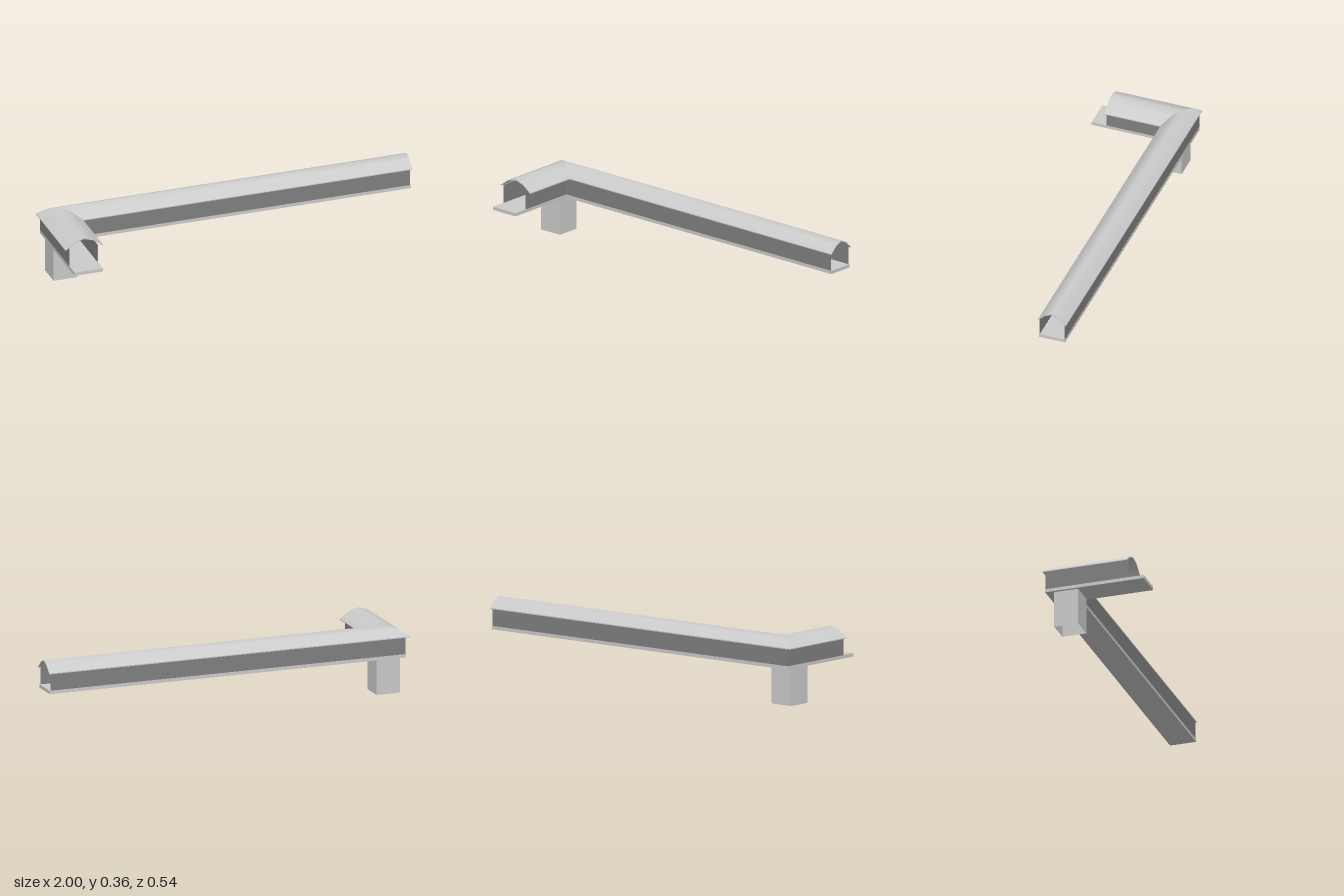
import * as THREE from 'three';

const light = new THREE.MeshStandardMaterial({ color: 0xcccccc, side: THREE.DoubleSide });
const dark = new THREE.MeshStandardMaterial({ color: 0x808080, side: THREE.DoubleSide });

// Box given by its extents along each axis
function box(group, name, material, [x0, x1], [y0, y1], [z0, z1]) {
  const mesh = new THREE.Mesh(new THREE.BoxGeometry(x1 - x0, y1 - y0, z1 - z0), material);
  mesh.position.set((x0 + x1) / 2, (y0 + y1) / 2, (z0 + z1) / 2);
  mesh.name = name;
  group.add(mesh);
}

// Surface between two rows of points
function strip(group, name, rowA, rowB) {
  const n = rowA.length, index = [];
  for (let j = 0; j < n - 1; j++) index.push(j, j + 1, n + j + 1, j, n + j + 1, n + j);
  const geometry = new THREE.BufferGeometry().setFromPoints([...rowA, ...rowB]);
  geometry.setIndex(index);
  geometry.computeVertexNormals();
  const mesh = new THREE.Mesh(geometry, light);
  mesh.name = name;
  group.add(mesh);
}

export function createModel() {
  const model = new THREE.Group();

  // Floor slabs
  const floorY = [0.197, 0.215];
  box(model, 'longFloor', light, [-0.98, 0.995], floorY, [-0.263, -0.122]);
  box(model, 'shortFloor', light, [-0.98, -0.825], floorY, [-0.122, 0.272]);

  // Thin walls of the L-shaped passage, open at both ends
  const wallY = [0.215, 0.313], t = 0.003;
  box(model, 'backWall', dark, [-0.98, 0.99], wallY, [-0.262, -0.262 + t]);
  box(model, 'frontWall', dark, [-0.827, 0.99], wallY, [-0.125, -0.125 + t]);
  box(model, 'outerSideWall', dark, [-0.98, -0.98 + t], wallY, [-0.262, 0.19]);
  box(model, 'innerSideWall', dark, [-0.827, -0.827 + t], wallY, [-0.125, 0.19]);
  box(model, 'cornerLining', light, [-0.977, -0.975], wallY, [-0.259, -0.122]);

  // Arched roof, mitred at the corner: [offset across the passage, height]
  const profile = [[-1, 0.309], [-0.5, 0.346], [0, 0.362], [0.5, 0.346], [1, 0.309]];
  const xAt = u => -0.898 + u * 0.102;
  const zAt = u => -0.193 + u * 0.077;
  const stations = [u => [xAt(u), 0.19], u => [xAt(u), zAt(u)], u => [1, zAt(u)]];
  const row = (station, drop) => profile.map(([u, y]) => {
    const [x, z] = station(u);
    return new THREE.Vector3(x, y - drop, z);
  });
  const outer = stations.map(s => row(s, 0));
  const inner = stations.map(s => row(s, 0.005));
  const roof = new THREE.Group();
  roof.name = 'roof';
  model.add(roof);
  ['shortRoof', 'longRoof'].forEach((name, i) => {
    strip(roof, name, outer[i], outer[i + 1]);
    strip(roof, name + 'Underside', inner[i + 1], inner[i]);
    for (const j of [0, profile.length - 1]) {
      strip(roof, name + 'Eave', [outer[i][j], outer[i + 1][j]], [inner[i][j], inner[i + 1][j]]);
    }
  });
  strip(roof, 'frontRoofEdge', inner[0], outer[0]);
  strip(roof, 'endRoofEdge', outer[2], inner[2]);

  // Hollow square pillar under the corner, open at top and bottom
  const shaft = new THREE.CylinderGeometry(Math.SQRT1_2, Math.SQRT1_2, 1, 4, 1, true, Math.PI / 4)
    .toNonIndexed();
  shaft.computeVertexNormals();
  const pillar = new THREE.Mesh(shaft, light);
  pillar.scale.set(0.13, 0.2, 0.13);
  pillar.position.set(-0.902, 0.1, -0.153);
  pillar.name = 'pillar';
  model.add(pillar);

  return model;
}
